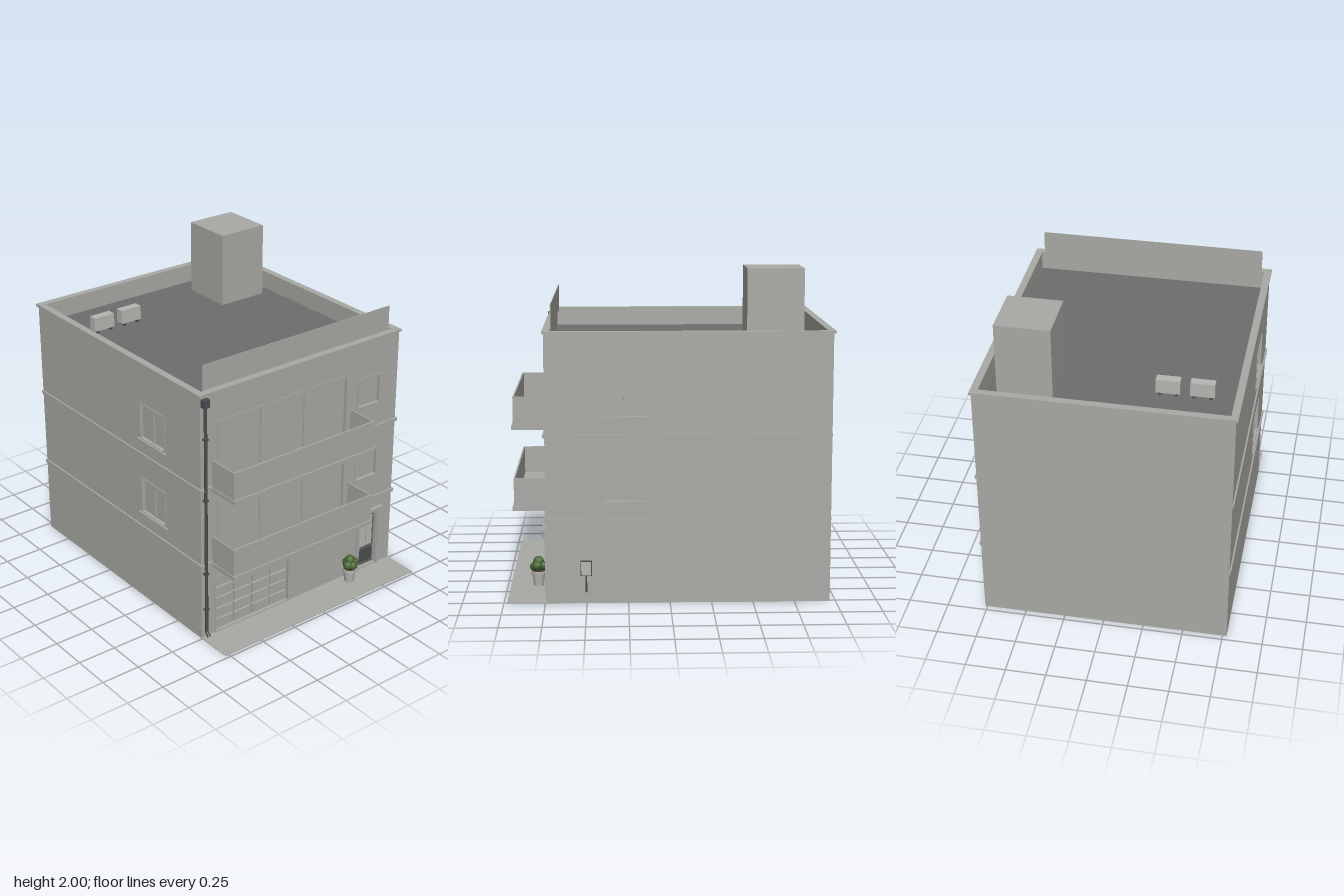
import * as THREE from 'three';

const mat = (name, color, double = false) => {
  const m = new THREE.MeshStandardMaterial({ color });
  m.name = name;
  if (double) m.side = THREE.DoubleSide;
  return m;
};

export function createModel() {
  const M = {
    wall: mat('plaster', 0xa9aaa4, true),
    roof: mat('roof felt', 0x6e6c6d, true),
    dark: mat('dark metal', 0x4b4c4e),
    door: mat('door grey', 0x66666a),
    light: mat('pale stone', 0xb6b6b1),
    leaf: mat('leaf green', 0x45652f),
    soil: mat('soil', 0x4a3c30),
  };
  const root = new THREE.Group();
  root.name = 'townHouse';

  const add = (parent, name, geo, material) => {
    const mesh = new THREE.Mesh(geo, material);
    mesh.name = name;
    parent.add(mesh);
    return mesh;
  };
  // box given by its two extreme corners
  const box = (parent, name, x0, x1, y0, y1, z0, z1, material = M.wall) => {
    const m = add(parent, name, new THREE.BoxGeometry(x1 - x0, y1 - y0, z1 - z0), material);
    m.position.set((x0 + x1) / 2, (y0 + y1) / 2, (z0 + z1) / 2);
    return m;
  };
  const cyl = (parent, name, rTop, rBottom, x, y0, y1, z, material, n = 12) => {
    const m = add(parent, name, new THREE.CylinderGeometry(rTop, rBottom, y1 - y0, n), material);
    m.position.set(x, (y0 + y1) / 2, z);
    return m;
  };
  const rect = (x0, x1, y0, y1, Type = THREE.Shape) => new Type([
    new THREE.Vector2(x0, y0), new THREE.Vector2(x1, y0),
    new THREE.Vector2(x1, y1), new THREE.Vector2(x0, y1)]);
  // hollow rectangular ring extruded along z
  const ring = (x0, x1, y0, y1, w, depth) => {
    const s = rect(x0, x1, y0, y1);
    s.holes.push(rect(x0 + w, x1 - w, y0 + w, y1 - w, THREE.Path));
    return new THREE.ExtrudeGeometry(s, { depth, bevelEnabled: false });
  };

  // A wall facing local +z; each opening gets a frame, a recessed pane and mullions
  const facade = (name, x0, x1, openings) => {
    const g = new THREE.Group();
    g.name = name;
    const s = rect(x0, x1, 0, 1.63);
    for (const o of openings) {
      const [a, b, c, d] = o.at;
      s.holes.push(rect(a, b, c, d, THREE.Path));
      const frame = add(g, o.name + 'Frame', ring(a, b, c, d, o.frame, o.recess + 0.005), M.wall);
      frame.position.z = -o.recess;
      box(g, o.name + 'Pane', a, b, c, d, -o.recess - 0.004, -o.recess + 0.004);
      for (let i = 1; i < o.panes; i++) {
        const x = a + (b - a) * i / o.panes;
        box(g, o.name + 'Mullion', x - 0.004, x + 0.004, c + o.frame, d - o.frame,
          -o.recess, -o.recess + 0.012);
      }
      if (o.sill) box(g, o.name + 'Sill', a - 0.012, b + 0.012, c - 0.006, c + 0.006, -0.01, 0.015);
    }
    add(g, name + 'Surface', new THREE.ShapeGeometry(s), M.wall);
    root.add(g);
    return g;
  };

  const floors = [0.5, 1.01];
  const frontOpenings = [
    { name: 'garage', at: [-0.675, -0.09, 0.005, 0.4], frame: 0.008, recess: 0.025, panes: 1 },
    { name: 'entrance', at: [0.49, 0.65, 0.005, 0.415], frame: 0.01, recess: 0.03, panes: 1 },
  ];
  for (const y of floors) {
    frontOpenings.push(
      { name: 'balconyDoor', at: [-0.655, 0.352, y + 0.01, y + 0.435], frame: 0.012, recess: 0.02, panes: 3 },
      { name: 'frontWindow', at: [0.434, 0.626, y + 0.17, y + 0.378], frame: 0.013, recess: 0.02, panes: 1 });
  }
  const sideWindows = (a, b) => floors.map((y) => (
    { name: 'sideWindow', at: [a, b, y + 0.113, y + 0.36], frame: 0.012, recess: 0.022, panes: 2, sill: true }));

  facade('frontWall', -0.775, 0.765, frontOpenings).position.z = 0.745;
  const right = facade('rightWall', -0.745, 0.965, sideWindows(-0.4, -0.14));
  right.position.x = 0.765;
  right.rotation.y = Math.PI / 2;
  const left = facade('leftWall', -0.965, 0.745, sideWindows(0.14, 0.4));
  left.position.x = -0.775;
  left.rotation.y = -Math.PI / 2;
  const back = facade('backWall', -0.765, 0.775, []);
  back.position.z = -0.965;
  back.rotation.y = Math.PI;

  // Roof, parapet and coping
  const roof = add(root, 'roof', new THREE.PlaneGeometry(1.52, 1.69), M.roof);
  roof.rotation.x = -Math.PI / 2;
  roof.position.set(-0.005, 1.52, -0.11);
  const flatRing = (name, x0, x1, z0, z1, w, y, h) => {
    const m = add(root, name, ring(x0, x1, -z1, -z0, w, h), M.wall);
    m.rotation.x = -Math.PI / 2;
    m.position.y = y;
  };
  flatRing('parapet', -0.774, 0.764, -0.964, 0.744, 0.03, 1.515, 0.11);
  flatRing('coping', -0.787, 0.775, -0.978, 0.756, 0.045, 1.625, 0.015);
  box(root, 'frontScreen', -0.725, 0.71, 1.63, 1.795, 0.701, 0.705);
  box(root, 'stairTower', 0.32, 0.657, 1.52, 2, -0.8, -0.46);

  // Roof ventilation units
  for (const x of [-0.535, -0.33]) {
    box(root, 'roofUnit', x - 0.073, x + 0.073, 1.535, 1.625, -0.625, -0.57, M.light);
    for (const dx of [-0.05, 0.05])
      box(root, 'roofUnitFoot', x + dx - 0.008, x + dx + 0.008, 1.52, 1.535, -0.625, -0.57, M.dark);
  }

  // Floor bands and balconies
  for (const y of floors) {
    box(root, 'frontBand', -0.785, 0.775, y, y + 0.022, 0.745, 0.756);
    box(root, 'rightBand', 0.765, 0.775, y, y + 0.022, -0.965, 0.756);
    box(root, 'leftBand', -0.785, -0.775, y, y + 0.022, -0.965, 0.756);
    const b = new THREE.Group();
    b.name = 'balcony';
    root.add(b);
    box(b, 'balconySlab', -0.697, 0.395, y - 0.015, y + 0.012, 0.745, 0.963);
    box(b, 'balconyFront', -0.692, 0.39, y + 0.012, y + 0.19, 0.944, 0.954);
    box(b, 'balconyLeftEnd', 0.382, 0.39, y + 0.012, y + 0.19, 0.745, 0.944);
    box(b, 'balconyRightEnd', -0.692, -0.684, y + 0.012, y + 0.19, 0.745, 0.944);
  }

  // Sectional garage door with raised panels
  const rows = 5, cols = 4, pw = 0.569 / cols, ph = 0.38 / rows;
  for (let r = 0; r < rows; r++)
    for (let c = 0; c < cols; c++) {
      const x = -0.667 + c * pw, y = 0.013 + r * ph;
      box(root, 'garagePanel', x + 0.007, x + pw - 0.007, y + 0.007, y + ph - 0.007, 0.72, 0.737);
    }

  // Entrance door, surround and canopy
  box(root, 'entranceDoor', 0.502, 0.638, 0.01, 0.4, 0.717, 0.727, M.door);
  for (const x of [0.518, 0.573])
    box(root, 'doorGlass', x, x + 0.05, 0.155, 0.37, 0.726, 0.731, M.light);
  box(root, 'doorLowerPanel', 0.516, 0.624, 0.04, 0.135, 0.726, 0.733, M.dark);
  box(root, 'doorHandle', 0.507, 0.513, 0.14, 0.18, 0.727, 0.742, M.light);
  for (const x of [0.474, 0.648])
    box(root, 'doorPilaster', x, x + 0.018, 0.005, 0.418, 0.745, 0.755);
  box(root, 'doorLintel', 0.47, 0.67, 0.4, 0.42, 0.745, 0.757);
  box(root, 'doorCanopy', 0.46, 0.678, 0.42, 0.432, 0.745, 0.77);

  // Wall plate and lantern beside the entrance
  box(root, 'wallPlate', 0.385, 0.458, 0.43, 0.457, 0.745, 0.754, M.dark);
  box(root, 'lanternBracket', 0.434, 0.446, 0.36, 0.372, 0.745, 0.77, M.dark);
  cyl(root, 'lanternGlass', 0.014, 0.008, 0.44, 0.32, 0.365, 0.768, M.light, 6);
  cyl(root, 'lanternCap', 0.004, 0.017, 0.44, 0.365, 0.383, 0.768, M.dark, 6);

  // Drainpipe with hopper, brackets and outlet
  cyl(root, 'drainpipe', 0.01, 0.01, -0.747, 0.04, 1.57, 0.759, M.dark);
  box(root, 'drainHopper', -0.77, -0.725, 1.56, 1.61, 0.745, 0.776, M.dark);
  for (const y of [0.2, 0.45, 0.95, 1.35])
    box(root, 'drainBracket', -0.761, -0.733, y, y + 0.01, 0.745, 0.771, M.dark);
  const outlet = cyl(root, 'drainOutlet', 0.01, 0.012, -0.747, 0.015, 0.055, 0.77, M.dark);
  outlet.rotation.x = -0.7;

  // Meter box with its pipe on the right wall
  box(root, 'meterBox', 0.765, 0.784, 0.175, 0.258, 0.474, 0.533, M.light);
  box(root, 'meterRim', 0.765, 0.778, 0.17, 0.263, 0.469, 0.538, M.dark);
  cyl(root, 'meterPipe', 0.005, 0.005, 0.773, 0.07, 0.175, 0.503, M.dark, 8);

  // Pavement
  box(root, 'pavement', -0.775, 0.765, 0, 0.005, 0.745, 0.98);

  // Potted shrub
  const px = 0.368, pz = 0.808;
  cyl(root, 'plantPot', 0.041, 0.03, px, 0, 0.09, pz, M.light, 16);
  cyl(root, 'plantPotRim', 0.047, 0.046, px, 0.08, 0.098, pz, M.light, 16);
  cyl(root, 'plantSoil', 0.04, 0.04, px, 0.097, 0.1, pz, M.soil, 16);
  const blobs = [[0, 0.158, 0, 0.034], [-0.026, 0.13, 0.01, 0.03], [0.027, 0.135, 0.008, 0.031],
    [0.003, 0.125, 0.024, 0.03], [0, 0.13, -0.025, 0.031]];
  for (const [x, y, z, r] of blobs) {
    const m = add(root, 'shrub', new THREE.IcosahedronGeometry(r, 1), M.leaf);
    m.position.set(px + x, y, pz + z);
  }
  return root;
}
